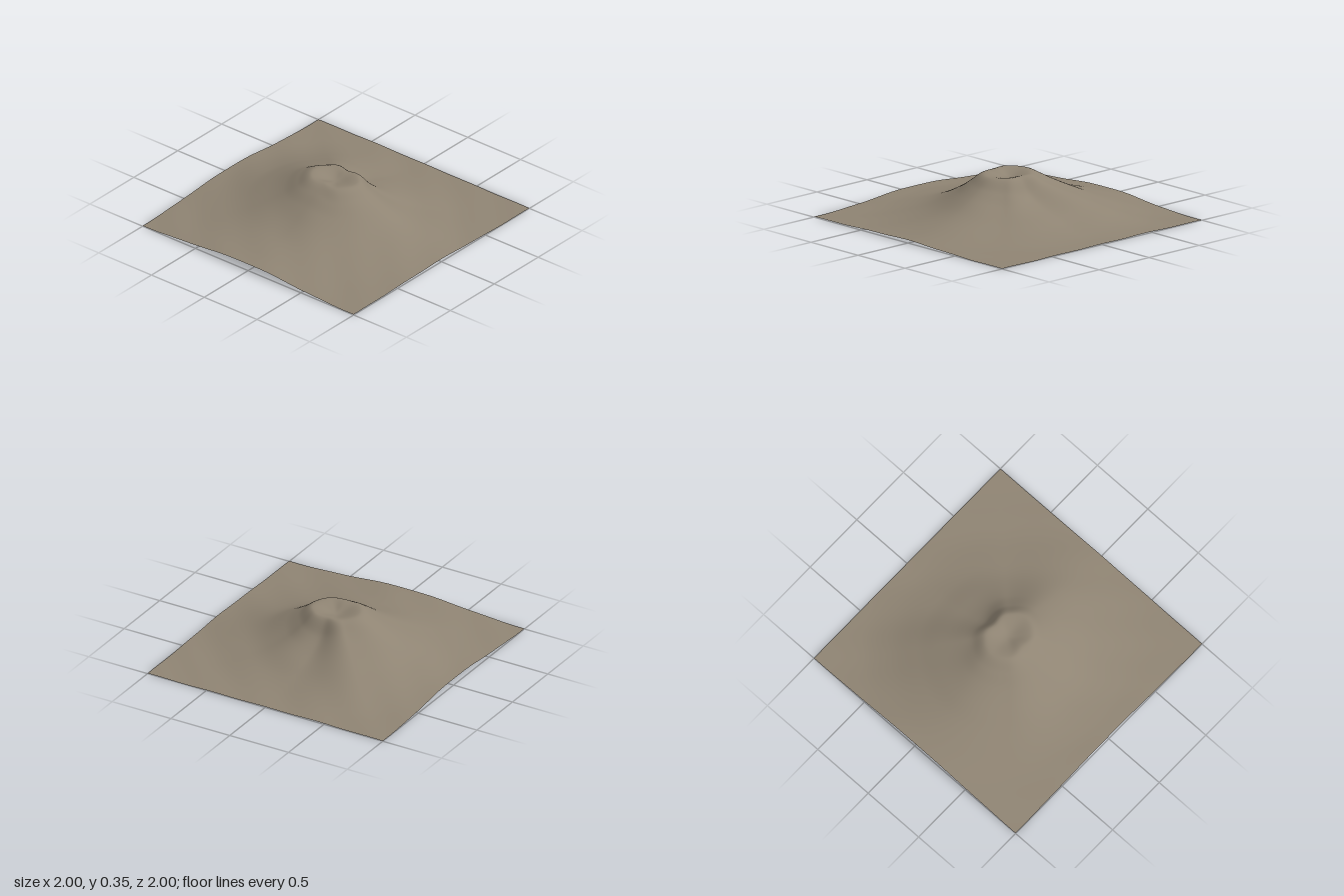
import * as THREE from 'three';

// Slope heights at STEPS beyond the crater rim, one row per 45 degrees from +x towards +z
const STEPS = [0, 0.1, 0.2, 0.35, 0.5, 0.7, 0.9, 1.25];
const SLOPES = [
  [0.345, 0.235, 0.175, 0.115, 0.062, 0.022, 0.010, 0.008],
  [0.350, 0.260, 0.180, 0.105, 0.058, 0.022, 0.010, 0.008],
  [0.350, 0.285, 0.225, 0.145, 0.092, 0.045, 0.020, 0.010],
  [0.355, 0.285, 0.210, 0.130, 0.080, 0.040, 0.020, 0.010],
  [0.360, 0.310, 0.240, 0.155, 0.100, 0.068, 0.059, 0.020],
  [0.360, 0.300, 0.235, 0.160, 0.105, 0.055, 0.030, 0.010],
  [0.358, 0.310, 0.255, 0.185, 0.125, 0.075, 0.050, 0.010],
  [0.350, 0.290, 0.245, 0.185, 0.125, 0.058, 0.020, 0.008],
];
const RIM = [0.12, 0.16, 0.19, 0.18, 0.14, 0.18, 0.19, 0.165];
const CRATER_DEPTH = 0.035;

const smooth = (t) => t * t * (3 - 2 * t);

// Cubic interpolation along one slope, flat at the rim and beyond the last step
function slopeHeight(row, t) {
  const last = STEPS.length - 1;
  if (t >= STEPS[last]) return row[last];
  let i = 0;
  while (t > STEPS[i + 1]) i++;
  const tangent = (k) => (k === 0 ? -0.15 : k === last ? 0
    : (row[k + 1] - row[k - 1]) / (STEPS[k + 1] - STEPS[k - 1]));
  const w = STEPS[i + 1] - STEPS[i];
  const u = (t - STEPS[i]) / w;
  const s = smooth(u);
  return row[i] * (1 - s) + row[i + 1] * s
    + w * u * (1 - u) * ((1 - u) * tangent(i) - u * tangent(i + 1));
}

// Terrain height: slopes blended around the centre, with a shallow bowl inside the rim
function heightAt(x, z) {
  const r = Math.hypot(x, z);
  const turn = ((Math.atan2(z, x) / (Math.PI / 4)) + 8) % 8;
  const a = Math.floor(turn) % 8;
  const b = (a + 1) % 8;
  const mix = smooth(turn - Math.floor(turn));
  const rim = THREE.MathUtils.lerp(RIM[a], RIM[b], mix);
  const t = Math.max(0, r - rim);
  const slope = THREE.MathUtils.lerp(slopeHeight(SLOPES[a], t), slopeHeight(SLOPES[b], t), mix);
  if (r >= rim) return slope;
  const bowl = smooth(1 - r / rim);
  return THREE.MathUtils.lerp(slope, 0.353 - CRATER_DEPTH, bowl);
}

export function createModel() {
  const group = new THREE.Group();
  group.name = 'volcano';

  // Square sheet of ground raised into the mountain
  const geometry = new THREE.PlaneGeometry(2, 2, 128, 128);
  geometry.rotateX(-Math.PI / 2);
  const p = geometry.attributes.position;
  for (let i = 0; i < p.count; i++) {
    const x = p.getX(i);
    const z = p.getZ(i);
    // faint diagonal ripples
    const ripple = 0.0015 * Math.sin((x + z) * 14);
    p.setY(i, Math.max(0, heightAt(x, z) + ripple));
  }
  // rest the lowest point on the ground
  geometry.computeBoundingBox();
  geometry.translate(0, -geometry.boundingBox.min.y, 0);
  geometry.computeVertexNormals();

  const terrain = new THREE.Mesh(geometry, new THREE.MeshStandardMaterial({
    color: 0x8f8473,
    side: THREE.DoubleSide,
  }));
  terrain.name = 'mountainTerrain';
  group.add(terrain);
  return group;
}
